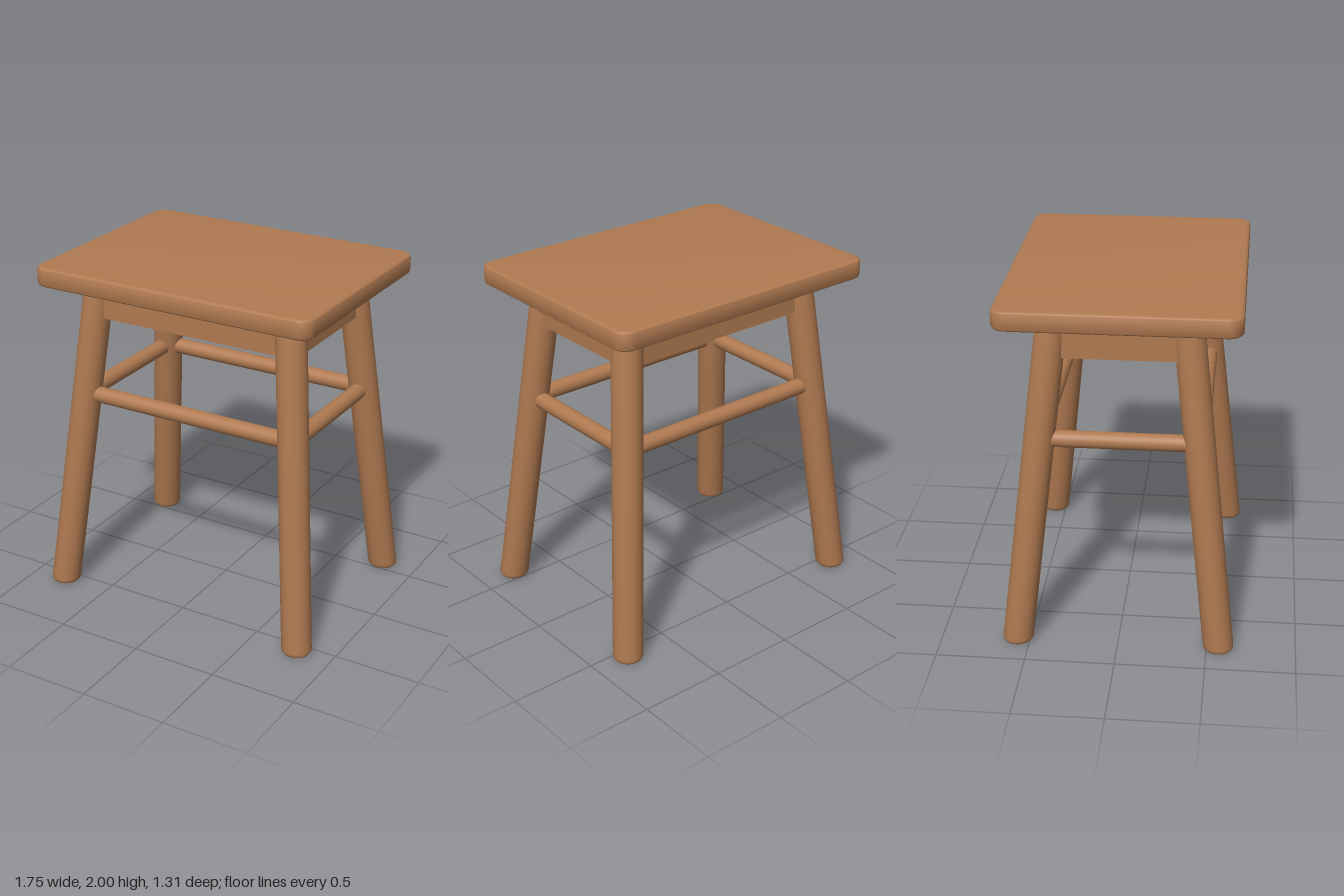
import * as THREE from 'three';
import { toCreasedNormals } from 'three/addons/utils/BufferGeometryUtils.js';

const SEAT_BOTTOM = 1.89;
const LEG_R = 0.086;
const FOOT = { x: 0.79, z: 0.568 };
const HEAD = { x: 0.605, z: 0.36 };

// Centre of a leg (positive quadrant) at a given height
const legAt = (y, axis) => THREE.MathUtils.lerp(FOOT[axis], HEAD[axis], y / SEAT_BOTTOM);

export function createModel() {
  const model = new THREE.Group();
  model.name = 'stool';
  const wood = new THREE.MeshStandardMaterial({ color: 0xb07a51 });
  wood.name = 'warm wood';

  const add = (name, geometry, x = 0, y = 0, z = 0) => {
    const mesh = new THREE.Mesh(geometry, wood);
    mesh.name = name;
    mesh.position.set(x, y, z);
    model.add(mesh);
    return mesh;
  };

  // Seat: rounded rectangle slab with softened edges
  const bevel = 0.02, w = 0.857 - bevel, d = 0.653 - bevel, r = 0.06;
  const outline = new THREE.Shape();
  outline.absarc(w - r, d - r, r, 0, Math.PI / 2);
  outline.absarc(-w + r, d - r, r, Math.PI / 2, Math.PI);
  outline.absarc(-w + r, -d + r, r, Math.PI, Math.PI * 1.5);
  outline.absarc(w - r, -d + r, r, Math.PI * 1.5, Math.PI * 2);
  const slab = new THREE.ExtrudeGeometry(outline, {
    depth: 0.11 - bevel * 2, bevelEnabled: true, bevelSize: bevel,
    bevelThickness: bevel, bevelSegments: 4, curveSegments: 8,
  });
  slab.rotateX(-Math.PI / 2);
  add('seat', toCreasedNormals(slab, 0.6), 0, SEAT_BOTTOM + bevel, 0);

  // Legs: round posts leaned outward, cut level at the floor with eased rims
  const profile = [[0, 0], [0.06, 0], [0.076, 0.006], [0.084, 0.016], [LEG_R, 0.03], [LEG_R, 1.9], [0, 1.9]]
    .map(([x, y]) => new THREE.Vector2(x, y));
  for (const sx of [1, -1]) {
    for (const sz of [1, -1]) {
      const post = new THREE.LatheGeometry(profile, 32);
      const p = post.attributes.position;
      for (let i = 0; i < p.count; i++) {
        const y = p.getY(i);
        p.setX(i, p.getX(i) + sx * legAt(y, 'x'));
        p.setZ(i, p.getZ(i) + sz * legAt(y, 'z'));
      }
      add(`${sz > 0 ? 'front' : 'back'}${sx > 0 ? 'Left' : 'Right'}Leg`, toCreasedNormals(post, 0.7));
    }
  }

  // Aprons under the seat and round stretchers, one of each per side
  const apronH = 0.215, apronY = 1.895 - apronH / 2, apronT = 0.08;
  const rodY = 1.213, rodR = 0.047;
  const rodX = legAt(rodY, 'x'), rodZ = legAt(rodY, 'z');
  for (const s of [1, -1]) {
    const end = s > 0 ? 'front' : 'back', side = s > 0 ? 'left' : 'right';
    add(`${end}Apron`, new THREE.BoxGeometry(1.22, apronH, apronT), 0, apronY, s * 0.38);
    add(`${side}Apron`, new THREE.BoxGeometry(apronT, apronH, 0.74), s * 0.625, apronY, 0);

    add(`${end}Stretcher`, new THREE.CylinderGeometry(rodR, rodR, rodX * 2, 24), 0, rodY, s * rodZ)
      .rotation.z = Math.PI / 2;
    add(`${side}Stretcher`, new THREE.CylinderGeometry(rodR, rodR, rodZ * 2, 24), s * rodX, rodY, 0)
      .rotation.x = Math.PI / 2;
  }
  return model;
}
